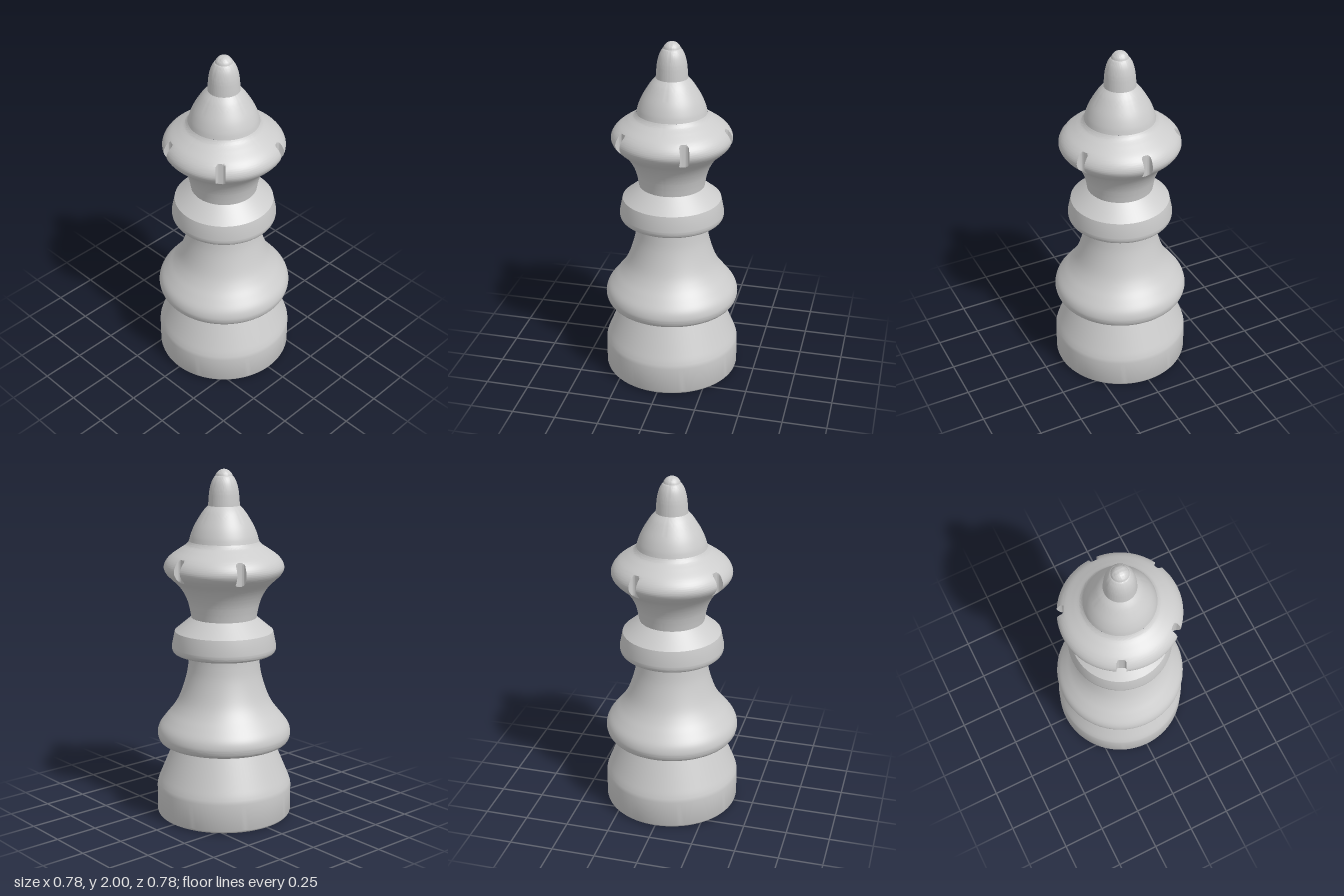
import * as THREE from 'three';
import { toCreasedNormals, mergeVertices } from 'three/addons/utils/BufferGeometryUtils.js';

const material = new THREE.MeshStandardMaterial({ color: 0xcccccc });
const SEGMENTS = 96;

// Smooth run of profile points through [radius, height] pairs
function spline(points, count) {
  return new THREE.SplineCurve(points.map(([r, y]) => new THREE.Vector2(r, y))).getPoints(count);
}
const line = (points) => points.map(([r, y]) => new THREE.Vector2(r, y));

function addMesh(group, name, geometry, crease = 0.6) {
  const mesh = new THREE.Mesh(toCreasedNormals(geometry, crease), material);
  mesh.name = name;
  group.add(mesh);
}

// Crown: a turned profile with vertical round-cornered notches cut into the rim
function crownGeometry(profile) {
  const notchAngles = [0, 65, 138, 205, 294].map(THREE.MathUtils.degToRad);
  const half = 0.026, floor = 0.3, fillet = 0.016;
  const columns = [];

  // A column maps the profile radius to a point in the horizontal plane
  const notchColumn = (angle, u, limit) => (r) => {
    const d = Math.min(Math.sqrt(r * r - u * u), limit);
    return [d * Math.cos(angle) - u * Math.sin(angle), d * Math.sin(angle) + u * Math.cos(angle)];
  };

  notchAngles.forEach((angle, k) => {
    const next = k < notchAngles.length - 1 ? notchAngles[k + 1] : Math.PI * 2;
    columns.push(notchColumn(angle, -half, Infinity));
    // Cross-section of the notch floor, rounded at both corners
    for (let i = -8; i <= 8; i++) {
      const u = half * Math.sin((i / 8) * Math.PI / 2);
      const c = Math.max(0, Math.abs(u) - (half - fillet));
      const rise = fillet - Math.sqrt(Math.max(0, fillet * fillet - c * c));
      columns.push(notchColumn(angle, u, floor + rise));
    }
    columns.push(notchColumn(angle, half, Infinity));
    // Plain turned surface up to the next notch
    const steps = Math.round((next - angle) * 14);
    for (let i = 1; i < steps; i++) {
      columns.push((r) => {
        const edge = Math.asin(half / r);
        const a = THREE.MathUtils.lerp(angle + edge, next - edge, i / steps);
        return [r * Math.cos(a), r * Math.sin(a)];
      });
    }
  });

  const positions = [], indices = [];
  const rows = profile.length;
  columns.forEach((column, c) => {
    const n = (c + 1) % columns.length;
    profile.forEach((p, i) => {
      const [x, z] = column(p.x);
      positions.push(x, p.y, z);
      if (i === rows - 1) return;
      const a = c * rows + i, b = n * rows + i;
      indices.push(a, a + 1, b, b, a + 1, b + 1);
    });
  });
  const geometry = new THREE.BufferGeometry();
  geometry.setAttribute('position', new THREE.Float32BufferAttribute(positions, 3));
  geometry.setIndex(indices);
  return mergeVertices(geometry, 1e-5);
}

export function createModel() {
  const group = new THREE.Group();
  group.name = 'chessQueen';

  const turned = {
    // Foot with a rounded bottom edge and a tapering upper half
    base: [
      ...line([[0, 0], [0.37, 0]]),
      ...spline([[0.375, 0.001], [0.385, 0.007], [0.39, 0.02]], 5),
      ...line([[0.39, 0.17]]),
      ...spline([[0.388, 0.185], [0.38, 0.21], [0.37, 0.235]], 5),
      ...line([[0.288, 0.43]]),
    ],
    // Bulging skirt flowing up into the slim stem
    body: [
      ...line([[0.27, 0.43], [0.335, 0.43]]),
      ...spline([[0.35, 0.432], [0.37, 0.442], [0.382, 0.465], [0.385, 0.495], [0.372, 0.535],
        [0.335, 0.585], [0.295, 0.635], [0.262, 0.69], [0.235, 0.76], [0.213, 0.84], [0.203, 0.91], [0.2, 0.96]], 48),
    ],
    // Collar with a bevelled top
    collar: [
      ...line([[0.19, 0.948], [0.245, 0.952]]),
      ...spline([[0.26, 0.954], [0.285, 0.962], [0.296, 0.977], [0.299, 1.0]], 10),
      ...line([[0.281, 1.087], [0.187, 1.165], [0.17, 1.165]]),
    ],
    // Dome on top of the crown
    dome: [
      ...spline([[0.197, 1.6], [0.188, 1.635], [0.17, 1.68], [0.145, 1.725], [0.115, 1.77], [0.085, 1.802]], 24),
      ...line([[0.06, 1.802]]),
    ],
    // Pointed finial
    finial: spline([[0.089, 1.795], [0.086, 1.84], [0.081, 1.885], [0.069, 1.93], [0.05, 1.962], [0.035, 1.966]], 24),
  };
  for (const [name, profile] of Object.entries(turned)) {
    addMesh(group, name, new THREE.LatheGeometry(profile, SEGMENTS));
  }

  // Flared neck and notched crown rim in one sweep
  const crown = spline([[0.186, 1.163], [0.194, 1.21], [0.207, 1.26], [0.23, 1.31], [0.262, 1.355],
    [0.3, 1.39], [0.328, 1.42], [0.34, 1.452], [0.329, 1.487], [0.3, 1.52], [0.25, 1.555],
    [0.213, 1.58], [0.197, 1.6]], 84);
  addMesh(group, 'crown', crownGeometry(crown));

  // Small ball at the tip
  const tip = new THREE.SphereGeometry(0.05, 48, 24);
  tip.translate(0, 1.95, 0);
  addMesh(group, 'tip', tip);

  return group;
}
